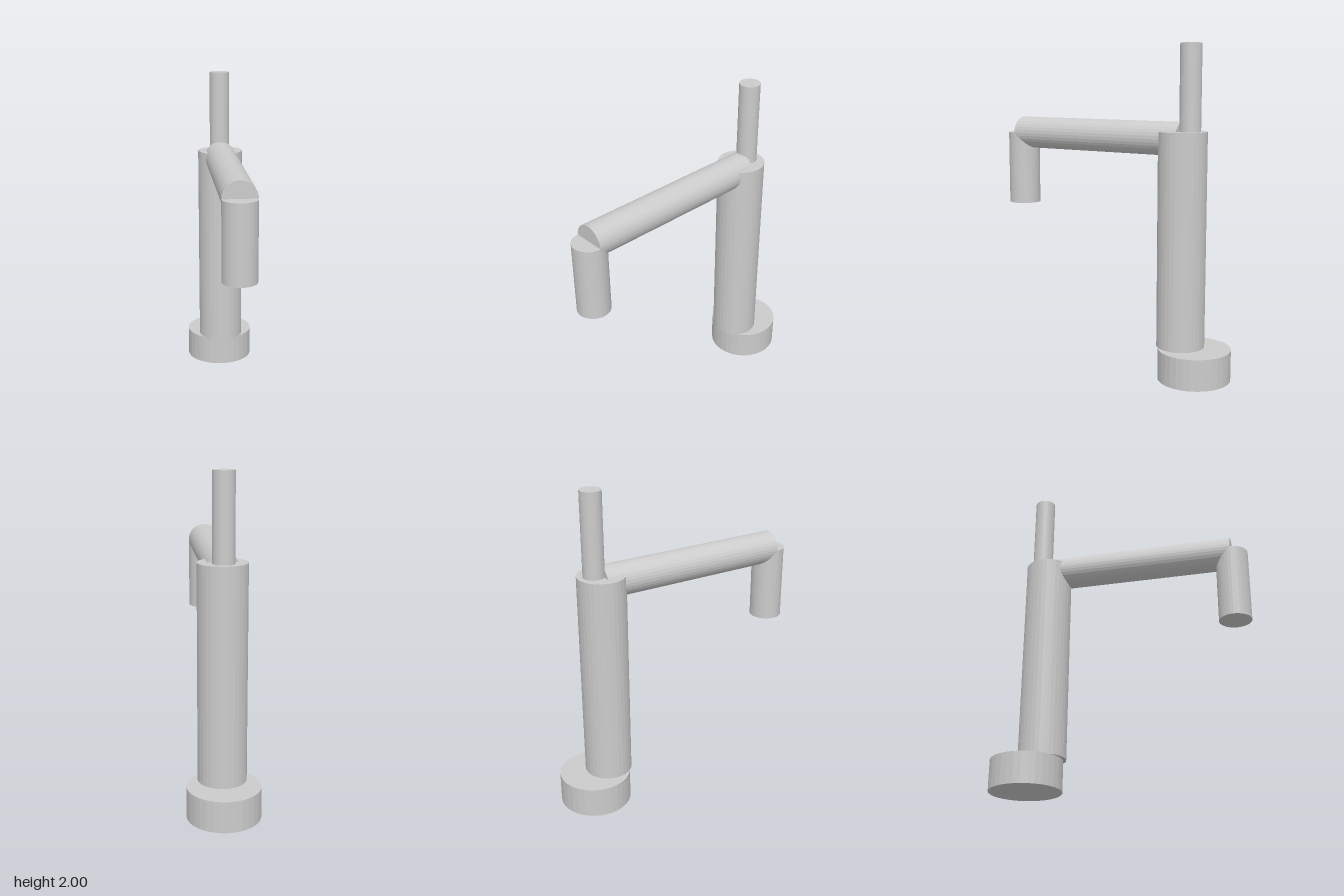
import * as THREE from 'three';

export function createModel() {
  const group = new THREE.Group();
  group.name = 'tap';
  const material = new THREE.MeshStandardMaterial({ color: 0xcccccc, flatShading: true });

  // Upright cylinder between two heights, centred on x = 0
  function post(name, radius, bottom, top, z) {
    const mesh = new THREE.Mesh(new THREE.CylinderGeometry(radius, radius, top - bottom, 32), material);
    mesh.name = name;
    mesh.position.set(0, (bottom + top) / 2, z);
    group.add(mesh);
    return mesh;
  }

  post('base', 0.22, 0, 0.19, -0.591);
  post('column', 0.146, 0.19, 1.49, -0.495);
  post('handle', 0.064, 1.445, 2, -0.543);
  post('nozzle', 0.101, 0.98, 1.445, 0.71);

  // Horizontal spout from the column to the nozzle's axis
  const back = -0.497, front = 0.71;
  const spout = post('spout', 0.101, 0, front - back, 0);
  spout.rotation.x = Math.PI / 2;
  spout.position.set(0, 1.445, (front + back) / 2);

  return group;
}
